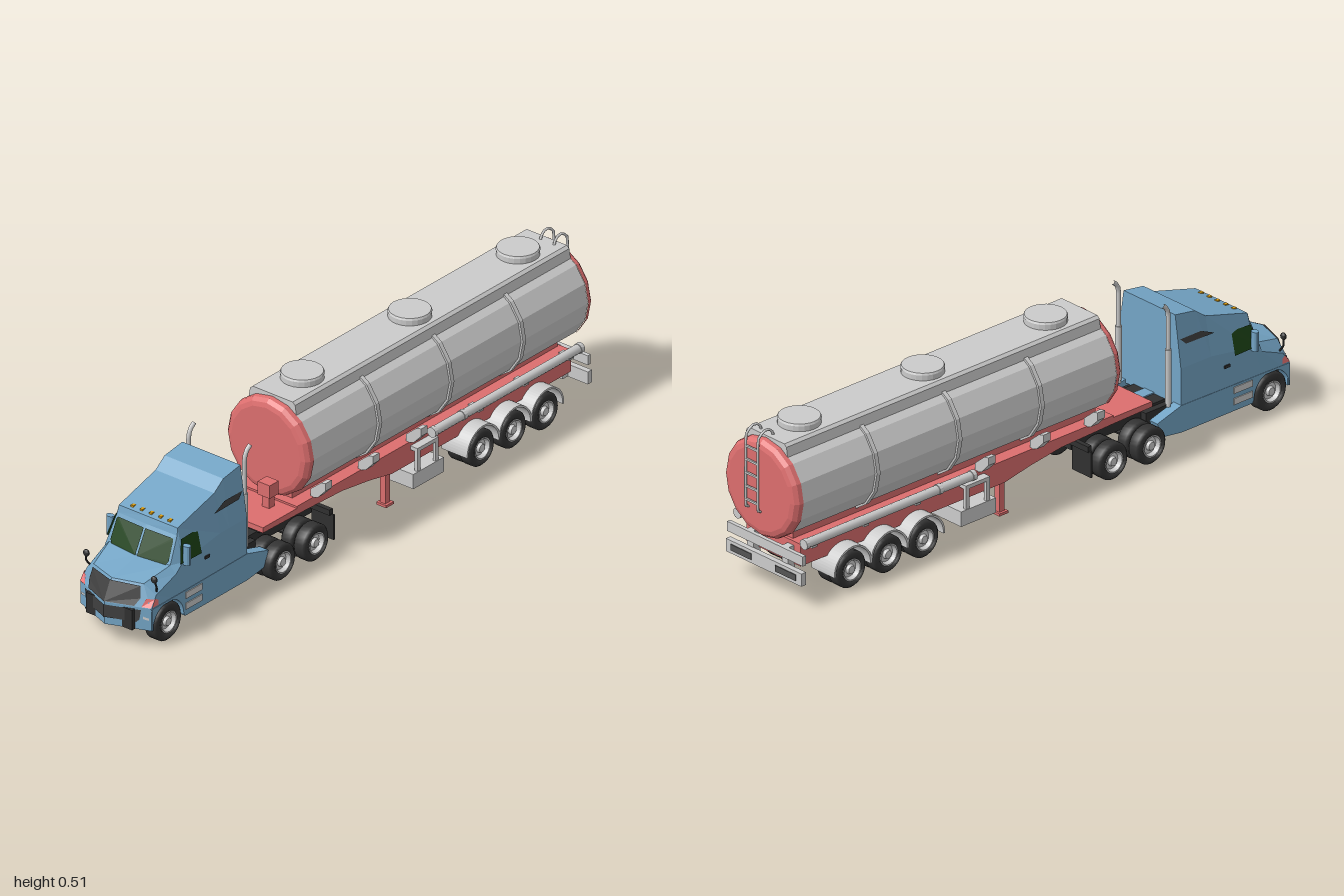
import * as THREE from 'three';

const mat = (color, flatShading = true, side = THREE.FrontSide) =>
  new THREE.MeshStandardMaterial({ color, flatShading, side });
const GREY = mat(0xcccccc), SMOOTH = mat(0xcccccc, false), RED = mat(0xdc6e6e), BLUE = mat(0x74a5c6),
  BLACK = mat(0x303030), TYRE = mat(0x333333, false), GRILLE = mat(0x404040, true, THREE.DoubleSide),
  GLASS = mat(0x1c4216, true, THREE.DoubleSide), LAMP = mat(0xf07878, true, THREE.DoubleSide),
  AMBER = mat(0xe0a010), PALE = mat(0xcccccc, true, THREE.DoubleSide), DARK = mat(0x555555);

export function createModel() {
  const root = new THREE.Group();
  const add = (name, geo, m, parent = root) => {
    const mesh = new THREE.Mesh(geo, m);
    mesh.name = name;
    parent.add(mesh);
    return mesh;
  };
  const group = (name) => {
    const g = new THREE.Group();
    g.name = name;
    root.add(g);
    return g;
  };
  // box given by its limits
  const box = (name, m, x0, x1, y0, y1, z0, z1, parent) =>
    add(name, new THREE.BoxGeometry(x1 - x0, y1 - y0, z1 - z0)
      .translate((x0 + x1) / 2, (y0 + y1) / 2, (z0 + z1) / 2), m, parent);
  // (z, y) outline extruded across x
  const sideExtrude = (name, m, shape, x0, x1, parent) =>
    add(name, new THREE.ExtrudeGeometry(shape, { depth: x1 - x0, bevelEnabled: false, curveSegments: 14 })
      .rotateY(-Math.PI / 2).translate(x1, 0, 0), m, parent);
  const outline = (pts) => new THREE.Shape(pts.map((p) => new THREE.Vector2(...p)));
  const pipe = (name, m, pts, r, parent) => add(name, new THREE.TubeGeometry(
    new THREE.CatmullRomCurve3(pts.map((p) => new THREE.Vector3(...p)), false, 'catmullrom', 0.2), 20, r, 10), m, parent);
  // sweeps the nose back towards its corners
  const bend = ([x, y, z]) => [x, y, z - 0.4 * Math.abs(x) * Math.min(1, Math.max(0, (z - 0.8) / 0.2))];
  // closed skin over rings of points, front to back
  const loft = (rings) => {
    const n = rings[0].length, idx = [];
    for (let i = 0; i < rings.length - 1; i++) for (let j = 0; j < n; j++) {
      const a = i * n + j, b = i * n + (j + 1) % n;
      idx.push(a, a + n, b, b, a + n, b + n);
    }
    const e = (rings.length - 1) * n;
    for (let j = 1; j < n - 1; j++) idx.push(0, j, j + 1, e, e + j + 1, e + j);
    const g = new THREE.BufferGeometry();
    g.setAttribute('position', new THREE.Float32BufferAttribute(rings.flat().map(bend).flat(), 3));
    g.setIndex(idx);
    g.computeVertexNormals();
    return g;
  };
  // thin convex panel
  const panel = (name, m, pts, parent) => {
    const g = new THREE.BufferGeometry(), idx = [];
    for (let j = 1; j < pts.length - 1; j++) idx.push(0, j, j + 1);
    g.setAttribute('position', new THREE.Float32BufferAttribute(pts.map(bend).flat(), 3));
    g.setIndex(idx);
    g.computeVertexNormals();
    return add(name, g, m, parent);
  };

  // ---- tank ----
  const tank = group('tank');
  const turned = (name, m, pts) => add(name, new THREE.LatheGeometry(
    pts.map((p) => new THREE.Vector2(...p)), 16).rotateX(Math.PI / 2).translate(0, 0.33, 0), m, tank);
  turned('tankShell', GREY, [[0.152, -0.957], [0.152, 0.255]]);
  turned('tankFrontHead', RED, [[0.154, 0.254], [0.152, 0.268], [0.142, 0.279], [0.128, 0.283], [0, 0.283]]);
  turned('tankRearHead', RED, [[0, -0.985], [0.128, -0.985], [0.142, -0.981], [0.152, -0.97], [0.154, -0.956]]);
  for (const z of [-0.035, -0.353, -0.67])
    turned('tankBand', GREY, [[0.15, z - 0.008], [0.158, z - 0.007], [0.158, z + 0.007], [0.15, z + 0.008]]);
  add('walkway', new THREE.ExtrudeGeometry(outline([[-0.088, 0.452], [0.088, 0.452], [0.083, 0.482], [0.074, 0.49],
    [-0.074, 0.49], [-0.083, 0.482]]), { depth: 1.21, bevelEnabled: false }).translate(0, 0, -0.957), GREY, tank);
  for (const z of [0.122, -0.353, -0.83]) {
    add('manhole', new THREE.CylinderGeometry(0.063, 0.063, 0.018, 24).translate(0, 0.498, z), GREY, tank);
    add('manholeLid', new THREE.CylinderGeometry(0.061, 0.064, 0.006, 24).translate(0, 0.51, z), GREY, tank);
  }

  // ---- rear ladder ----
  const ladder = group('ladder');
  for (const x of [-0.006, 0.044]) pipe('ladderRail', SMOOTH, [[x, 0.485, -0.935], [x, 0.508, -0.945], [x, 0.512, -0.97],
    [x, 0.495, -0.993], [x, 0.46, -0.996], [x, 0.27, -0.996], [x, 0.26, -0.98]], 0.004, ladder);
  for (let i = 0; i < 5; i++) box('ladderRung', GREY, -0.006, 0.044, 0.285 + i * 0.042, 0.291 + i * 0.042, -0.999, -0.993, ladder);

  // ---- trailer chassis ----
  const chassis = group('trailerChassis');
  sideExtrude('trailerFrame', RED, outline([[0.43, 0.172], [0.43, 0.155], [0.28, 0.152], [0.08, 0.145], [-0.04, 0.128],
    [-0.14, 0.108], [-0.93, 0.108], [-0.93, 0.178], [0.28, 0.178], [0.28, 0.172]]), -0.112, 0.112, chassis);
  box('tankSaddle', RED, -0.07, 0.07, 0.176, 0.2, -0.92, 0.25, chassis);
  box('connectorPost', RED, 0.027, 0.053, 0.17, 0.22, 0.308, 0.332, chassis);
  box('connectorBox', RED, 0.018, 0.062, 0.21, 0.252, 0.3, 0.34, chassis);
  box('toolBox', GREY, -0.14, 0.14, 0.043, 0.09, -0.335, -0.2, chassis);
  for (const s of [-1, 1]) {
    const span = (a, b) => (s > 0 ? [a, b] : [-b, -a]);
    box('landingLeg', RED, ...span(0.078, 0.098), 0.008, 0.12, -0.148, -0.128, chassis);
    box('landingFoot', RED, ...span(0.07, 0.106), 0.003, 0.011, -0.155, -0.121, chassis);
    for (const z of [-0.235, -0.315]) box('toolBoxHanger', GREY, ...span(0.128, 0.138), 0.085, 0.162, z, z + 0.014, chassis);
    box('hangerRail', GREY, ...span(0.105, 0.138), 0.152, 0.164, -0.315, -0.221, chassis);
    pipe('sidePipe', SMOOTH, [[s * 0.138, 0.19, -0.29], [s * 0.138, 0.19, -0.6], [s * 0.138, 0.19, -0.935]], 0.014, chassis);
    for (const z of [-0.29, -0.42, -0.935]) add('pipeCollar', new THREE.CylinderGeometry(0.016, 0.016, 0.014, 12)
      .rotateX(Math.PI / 2).translate(s * 0.138, 0.19, z), GREY, chassis);
    for (const z of [-0.5, -0.7, -0.9]) box('pipeBracket', GREY, ...span(0.1, 0.14), 0.168, 0.182, z - 0.01, z + 0.01, chassis);
    const wedge = [[0.1, 0.172], [0.128, 0.182], [0.156, 0.212], [0.156, 0.236], [0.138, 0.232], [0.1, 0.2]];
    for (const z of [0.192, -0.018, -0.23]) add('sideSupport', new THREE.ExtrudeGeometry(
      outline(wedge.map(([x, y]) => [s * x, y])), { depth: 0.028, bevelEnabled: false }).translate(0, 0, z - 0.014), GREY, chassis);
    box('bumperHanger', GREY, ...span(0.06, 0.085), 0.075, 0.165, -0.952, -0.925, chassis);
    box('rearLamp', DARK, ...span(0.05, 0.135), 0.084, 0.103, -0.971, -0.966, chassis);
  }
  box('rearUpperBar', GREY, -0.157, 0.157, 0.135, 0.165, -0.963, -0.95, chassis);
  box('rearBumper', GREY, -0.157, 0.157, 0.073, 0.113, -0.968, -0.95, chassis);

  // ---- wheels ----
  const lathe = (pts) => new THREE.LatheGeometry(pts.map((p) => new THREE.Vector2(...p)), 28).rotateZ(-Math.PI / 2);
  const wheel = (name, s, z, xOut, width, r) => {
    const g = group(name);
    const w = width / 2;
    add('tyre', lathe([[0.033, -w], [r - 0.007, -w], [r, -w + 0.007], [r, w - 0.007], [r - 0.007, w], [0.033, w], [0.033, -w]]), TYRE, g);
    add('rim', lathe([[0, -w + 0.002], [0.033, -w + 0.002], [0.034, w + 0.001], [0.03, w + 0.001], [0.025, w - 0.012],
      [0.015, w - 0.01], [0.012, w - 0.001], [0, w]]), PALE, g);
    g.position.set(s * (xOut - w), r + 0.002, z);
    g.rotation.y = s > 0 ? 0 : Math.PI;
  };
  for (const s of [-1, 1]) {
    wheel('frontWheel', s, 0.872, 0.135, 0.045, 0.06);
    for (const z of [0.39, 0.243, -0.488, -0.628, -0.77]) {
      wheel('outerWheel', s, z, 0.155, 0.043, 0.057);
      wheel('innerWheel', s, z, 0.108, 0.043, 0.057);
    }
    for (const z of [-0.488, -0.628, -0.77]) {
      const arc = new THREE.Shape();
      arc.absarc(z, 0.062, 0.073, -0.05, Math.PI + 0.05, false);
      arc.absarc(z, 0.062, 0.067, Math.PI + 0.05, -0.05, true);
      sideExtrude('mudguard', GREY, arc, s > 0 ? 0.064 : -0.159, s > 0 ? 0.159 : -0.064);
    }
  }
  for (const z of [0.872, 0.39, 0.243, -0.488, -0.628, -0.77])
    add('axle', new THREE.CylinderGeometry(0.012, 0.012, 0.2, 10).rotateZ(Math.PI / 2).translate(0, 0.06, z), BLACK);

  // ---- tractor frame ----
  const frame = group('tractorFrame');
  box('frameBed', BLACK, -0.065, 0.065, 0.092, 0.132, 0.16, 0.56, frame);
  box('cabFloor', BLACK, -0.085, 0.085, 0.06, 0.124, 0.43, 0.975, frame);
  box('couplingPlate', BLACK, -0.075, 0.075, 0.13, 0.156, 0.235, 0.4, frame);
  box('rearCrossbar', BLACK, -0.14, 0.14, 0.112, 0.13, 0.155, 0.17, frame);
  for (const s of [-1, 1]) box('mudFlap', BLACK, s * 0.11 - 0.04, s * 0.11 + 0.04, 0.035, 0.115, 0.158, 0.164, frame);

  // ---- cab: z, shoulder y, shoulder half width, top y, top half width ----
  const cab = group('cab');
  add('cabBody', loft([[0.995, 0.128, 0.131, 0.131, 0.128], [0.962, 0.165, 0.128, 0.195, 0.092], [0.85, 0.2, 0.132, 0.222, 0.112],
    [0.808, 0.225, 0.131, 0.303, 0.11], [0.802, 0.225, 0.131, 0.325, 0.108], [0.64, 0.25, 0.131, 0.37, 0.108],
    [0.6, 0.25, 0.131, 0.4, 0.108], [0.523, 0.25, 0.131, 0.412, 0.107]].map(([z, ys, ws, yt, wt]) =>
    [[0, 0.123, z], [0.132, 0.123, z], [ws, ys, z], [wt, yt, z], [0, yt, z], [-wt, yt, z], [-ws, ys, z], [-0.132, 0.123, z]])), BLUE, cab);
  add('frontBumper', loft([[0.994, 0.128], [0.982, 0.124]].map(([z, y]) => [[0, 0.06, z], [0.131, 0.06, z],
    [0.131, y, z], [0, y, z], [-0.131, y, z], [-0.131, 0.06, z]])), BLUE, cab);
  box('rearDeck', BLUE, -0.02, 0.02, 0.125, 0.136, 0.43, 0.53, cab);

  // grilles, one half each side of the nose ridge
  for (const s of [-1, 1]) {
    panel('upperGrille', GRILLE, [[0, 0.134, 0.998], [s * 0.084, 0.134, 0.998], [s * 0.094, 0.155, 0.984], [s * 0.088, 0.19, 0.971], [0, 0.192, 0.97]], cab);
    panel('lowerGrille', GRILLE, [[0, 0.084, 0.998], [s * 0.09, 0.084, 0.998], [s * 0.099, 0.094, 0.998], [s * 0.103, 0.124, 0.998], [0, 0.124, 0.998]], cab);
    panel('windscreen', GLASS, [[s * 0.003, 0.222, 0.856], [s * 0.1, 0.222, 0.856], [s * 0.107, 0.232, 0.851], [s * 0.104, 0.291, 0.82], [s * 0.1, 0.295, 0.818], [s * 0.003, 0.295, 0.818]], cab);
    panel('headlight', LAMP, [[s * 0.104, 0.134, 0.998], [s * 0.13, 0.134, 0.998], [s * 0.131, 0.156, 0.975], [s * 0.112, 0.158, 0.986]], cab);
    panel('headlightSide', LAMP, [[s * 0.132, 0.134, 0.994], [s * 0.132, 0.134, 0.955], [s * 0.1315, 0.15, 0.955], [s * 0.131, 0.158, 0.972]], cab);
    panel('fogLight', PALE, [[s * 0.108, 0.096, 0.997], [s * 0.125, 0.093, 0.997], [s * 0.125, 0.1, 0.997], [s * 0.108, 0.104, 0.997]], cab);
    // side glass lies on the slope above the shoulder
    const wall = (y, top) => s * (0.133 - 0.0225 * Math.max(0, (y - 0.235) / (top - 0.235)));
    panel('sideWindow', GLASS, [[0.832, 0.226], [0.728, 0.224], [0.728, 0.288], [0.75, 0.295], [0.802, 0.293]]
      .map(([z, y]) => [wall(y, 0.318) + s * 0.003, y, z]), cab);
    panel('sleeperWindow', GRILLE, [[0.66, 0.316], [0.55, 0.318], [0.53, 0.337], [0.61, 0.337]]
      .map(([z, y]) => [wall(y, 0.385) + s * 0.003, y, z]), cab);

    // lower side panel with wheel arch
    const skirt = new THREE.Shape();
    skirt.moveTo(0.942, 0.06);
    skirt.lineTo(0.942, 0.13);
    skirt.lineTo(0.523, 0.135);
    skirt.lineTo(0.43, 0.108);
    skirt.lineTo(0.45, 0.06);
    skirt.lineTo(0.523, 0.05);
    skirt.lineTo(0.798, 0.05);
    skirt.absarc(0.872, 0.06, 0.068, Math.PI, 0, true);
    sideExtrude('sideSkirt', BLUE, skirt, s > 0 ? 0.1 : -0.133, s > 0 ? 0.133 : -0.1, cab);
    for (const y of [0.07, 0.105]) box('step', GREY, s * 0.131 - 0.005, s * 0.131 + 0.005, y, y + 0.02, 0.725, 0.797, cab);
    box('doorHandle', BLACK, s * 0.132 - 0.003, s * 0.132 + 0.003, 0.195, 0.204, 0.69, 0.71, cab);

    // mirrors
    add('mirror', new THREE.CylinderGeometry(0.013, 0.013, 0.06, 10).scale(1, 1, 0.8).translate(s * 0.141, 0.25, 0.8), BLUE, cab);
    box('mirrorArm', BLACK, s * 0.134 - 0.008, s * 0.134 + 0.008, 0.222, 0.23, 0.795, 0.803, cab);
    pipe('hoodMirrorStalk', BLACK, [[s * 0.121, 0.17, 0.91], [s * 0.13, 0.19, 0.92], [s * 0.125, 0.215, 0.925]], 0.003, cab);
    add('hoodMirror', new THREE.SphereGeometry(0.011, 12, 8).scale(1, 1, 0.7).translate(s * 0.125, 0.216, 0.925), BLACK, cab);

    // exhaust stacks
    pipe('exhaustStack', SMOOTH, [[s * 0.103, 0.13, 0.5], [s * 0.103, 0.3, 0.5], [s * 0.103, 0.42, 0.5], [s * 0.103, 0.443, 0.492], [s * 0.103, 0.455, 0.476]], 0.007, cab);
    add('exhaustShield', new THREE.CylinderGeometry(0.01, 0.01, 0.17, 12).translate(s * 0.103, 0.225, 0.5), SMOOTH, cab);
  }
  // roof marker lights
  for (let i = -2; i <= 2; i++) box('markerLight', AMBER, i * 0.034 - 0.005, i * 0.034 + 0.005, 0.325, 0.333, 0.78, 0.792, cab);
  return root;
}
